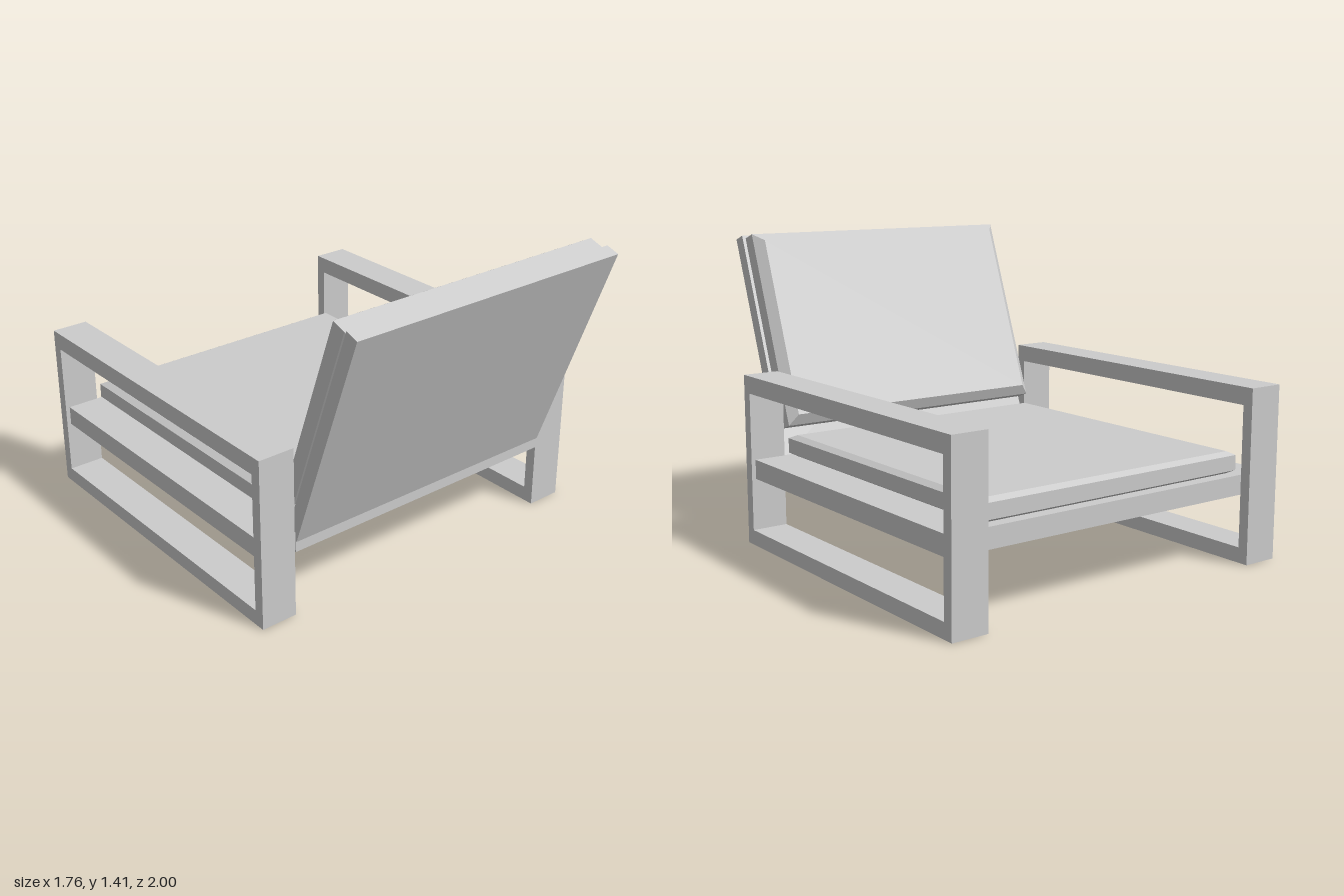
import * as THREE from 'three';

const material = new THREE.MeshStandardMaterial({ color: 0xcccccc });

function add(parent, name, geometry) {
  const mesh = new THREE.Mesh(geometry, material);
  mesh.name = name;
  parent.add(mesh);
  return mesh;
}

// Closed outline from [x, y] pairs
function outline(points) {
  return new THREE.Shape(points.map(([x, y]) => new THREE.Vector2(x, y)));
}

function rectangle(x0, y0, x1, y1) {
  return outline([[x0, y0], [x1, y0], [x1, y1], [x0, y1]]);
}

// Slab with mitred chamfers around both faces, centred, thickness along z
function cushion(width, height, thickness, inset, chamfer) {
  const w = width / 2 - inset;
  const h = height / 2 - inset;
  return new THREE.ExtrudeGeometry(rectangle(-w, -h, w, h), {
    depth: thickness - 2 * chamfer,
    bevelThickness: chamfer,
    bevelSize: inset,
    bevelSegments: 1,
  }).translate(0, 0, chamfer - thickness / 2);
}

export function createModel() {
  const chair = new THREE.Group();
  chair.name = 'loungeChair';

  // Rectangular arm frames, drawn in the z-y plane
  const frameShape = rectangle(-1, 0, 0.625, 0.79);
  frameShape.holes.push(rectangle(-0.95, 0.07, 0.575, 0.71));
  for (const [name, x] of [['leftArmFrame', 0.88], ['rightArmFrame', -0.71]]) {
    const geometry = new THREE.ExtrudeGeometry(frameShape, { depth: 0.17, bevelEnabled: false });
    add(chair, name, geometry.rotateY(-Math.PI / 2)).position.x = x;
  }

  // Seat board: wide between the posts, narrower tongue passing between the rear posts
  const boardShape = outline([
    [-0.86, -0.95], [0.86, -0.95], [0.86, 0.575], [0.71, 0.575],
    [0.71, 0.63], [-0.71, 0.63], [-0.71, 0.575], [-0.86, 0.575],
  ]);
  const board = new THREE.ExtrudeGeometry(boardShape, { depth: 0.09, bevelEnabled: false });
  add(chair, 'seatBoard', board.rotateX(Math.PI / 2)).position.y = 0.4;

  // Seat cushion
  const seat = cushion(1.4, 1.475, 0.1, 0.03, 0.016).rotateX(-Math.PI / 2);
  add(chair, 'seatCushion', seat).position.set(0, 0.451, -0.187);

  // Reclined back: panel and cushion share one tilted group
  const back = new THREE.Group();
  back.name = 'backrest';
  back.rotation.x = THREE.MathUtils.degToRad(20);
  chair.add(back);
  add(back, 'backPanel', new THREE.BoxGeometry(1.415, 1.082, 0.064)).position.set(0, 1.095, 0.44);
  add(back, 'backCushion', cushion(1.4, 0.92, 0.142, 0.042, 0.037)).position.set(0, 1.157, 0.359);

  return chair;
}
